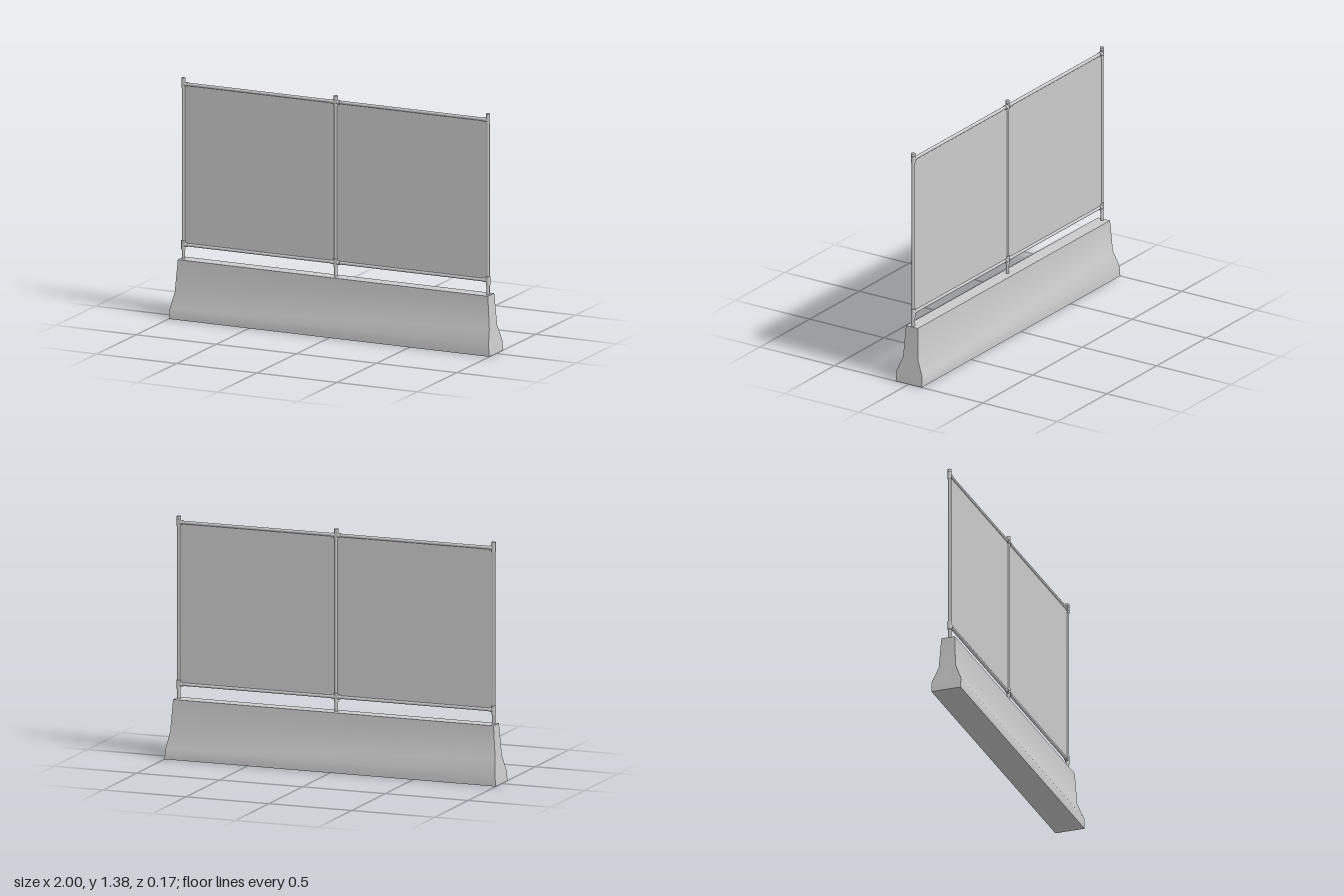
import * as THREE from 'three';
import { toCreasedNormals } from 'three/addons/utils/BufferGeometryUtils.js';

const grey = new THREE.MeshStandardMaterial({ color: 0xcccccc });
const sheet = new THREE.MeshStandardMaterial({ color: 0xcccccc, side: THREE.DoubleSide });
const POST_Z = 0.003;

export function createModel() {
  const model = new THREE.Group();
  model.name = 'barrierFence';

  const add = (name, geometry, x, y, z = POST_Z, material = grey) => {
    const mesh = new THREE.Mesh(geometry, material);
    mesh.name = name;
    mesh.position.set(x, y, z);
    model.add(mesh);
    return mesh;
  };
  const tube = (name, r, length, x, y, horizontal = false) => {
    const mesh = add(name, new THREE.CylinderGeometry(r, r, length, 16), x, y);
    if (horizontal) mesh.rotation.z = Math.PI / 2;
    return mesh;
  };

  // Concrete base: a box whose four rows follow the flared profile [y, half length, half depth]
  const rows = [[0, 1, 0.087], [0.06, 0.994, 0.087], [0.15, 0.981, 0.05], [0.335, 0.967, 0.04]];
  const base = new THREE.BoxGeometry(2, 3, 2, 1, 3, 1);
  const p = base.attributes.position;
  for (let i = 0; i < p.count; i++) {
    const [y, hx, hz] = rows[Math.round(p.getY(i) + 1.5)];
    p.setXYZ(i, Math.sign(p.getX(i)) * hx, y, Math.sign(p.getZ(i)) * hz);
  }
  add('concreteBase', toCreasedNormals(base, 0.6), 0, 0, 0);

  // Posts with end caps, base sleeves and rail collars
  for (const x of [-0.95, 0, 0.95]) {
    tube('post', 0.0095, 1.04, x, 0.85);
    tube('postCap', 0.012, 0.014, x, 1.37);
    tube('lowerCollar', 0.0125, 0.05, x, 0.415);
    tube('upperCollar', 0.012, 0.04, x, 1.34);
  }

  // Each bay: two rails with end sockets and an infill panel
  for (const side of [-1, 1]) {
    const cx = side * 0.475;
    for (const y of [0.417, 1.342]) {
      tube('rail', 0.0095, 0.95, cx, y, true);
      for (const end of [-1, 1]) tube('railSocket', 0.0125, 0.022, cx + end * 0.459, y, true);
    }
    add('panel', new THREE.BoxGeometry(0.94, 0.925, 0.003), cx, 0.8795, POST_Z, sheet);
  }
  return model;
}
